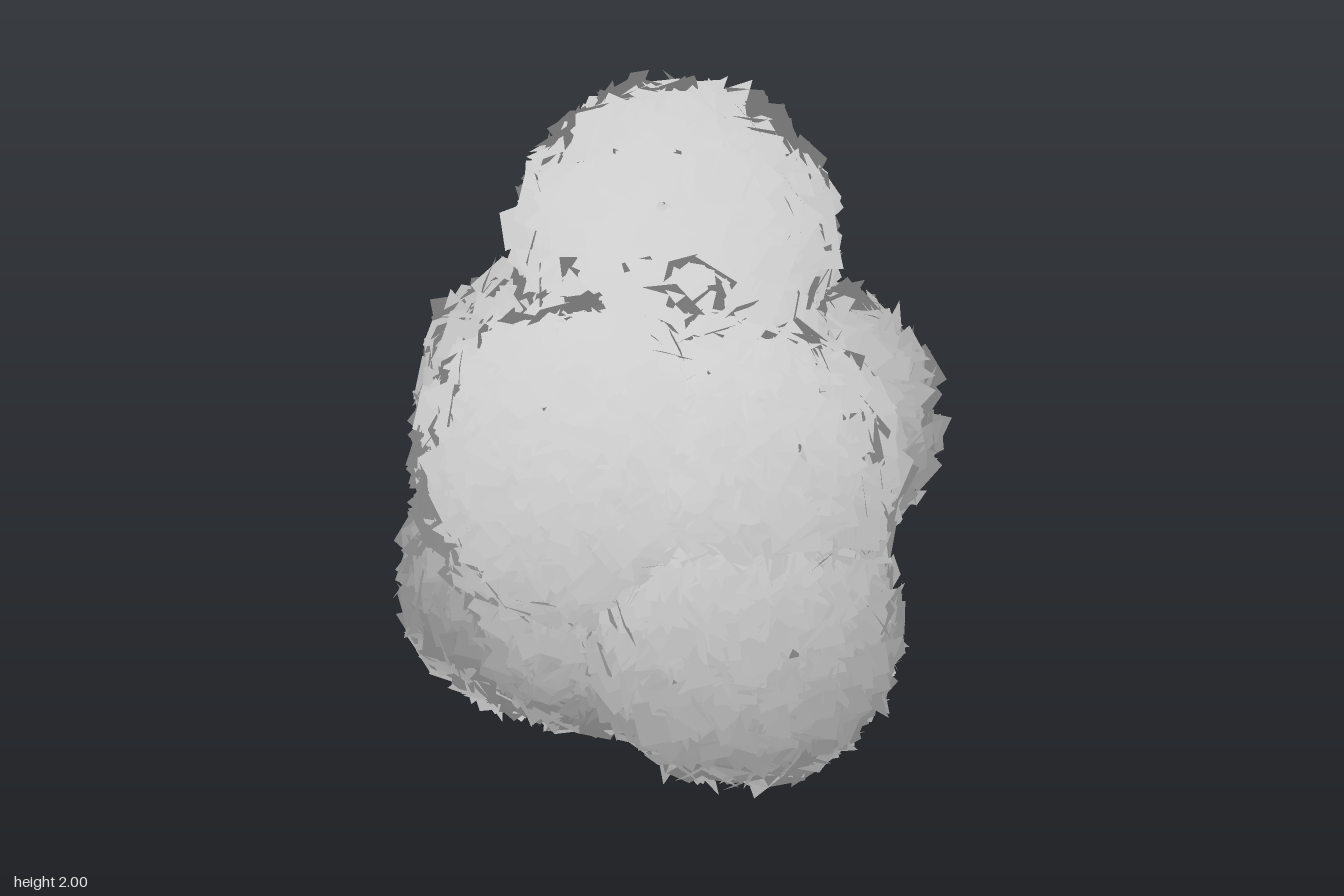
import * as THREE from 'three';
import { mergeGeometries } from 'three/addons/utils/BufferGeometryUtils.js';

// Foliage clumps: name, centre, radius to leaf centres, leaf count, leaf size
const CLUMPS = [
  ['crownClump', [0.05, 1.53, 0.02], 0.42, 760, 0.115],
  ['coreClump', [0.04, 1.2, 0.01], 0.425, 700, 0.105],
  ['frontClump', [0.09, 0.97, 0.43], 0.415, 950, 0.1],
  ['backClump', [0.1, 0.98, -0.44], 0.41, 850, 0.105],
  ['leftUpperClump', [0.4, 0.94, 0.12], 0.39, 800, 0.105],
  ['leftLowerClump', [0.43, 0.54, 0.17], 0.4, 950, 0.1],
  ['rightUpperClump', [-0.44, 1.05, 0.03], 0.375, 600, 0.12],
  ['rightLowerClump', [-0.43, 0.51, 0.08], 0.405, 950, 0.1],
  ['frontLowerClump', [-0.02, 0.52, 0.26], 0.33, 750, 0.095],
  ['bottomClump', [0.2, 0.34, -0.32], 0.29, 650, 0.09],
];
const MIDDLE = new THREE.Vector3(0.05, 0.6, 0);

// Small seeded random number generator
function seeded(seed) {
  return () => {
    seed = (seed * 1664525 + 1013904223) % 4294967296;
    return seed / 4294967296;
  };
}

// Square leaves spread in a spiral over a sphere, each spun and tilted
function leafBall(centre, radius, count, size, rand) {
  const leaves = [];
  const golden = Math.PI * (3 - Math.sqrt(5));
  const forward = new THREE.Vector3(0, 0, 1);
  const dir = new THREE.Vector3();
  const normal = new THREE.Vector3();
  const tilt = new THREE.Quaternion();
  const turn = new THREE.Quaternion();
  const jitter = (amount) => (rand() - 0.5) * amount;
  for (let i = 0; i < count; i++) {
    const y = 1 - (2 * (i + 0.5)) / count;
    const ring = Math.sqrt(1 - y * y);
    dir.set(Math.cos(i * golden) * ring, y, Math.sin(i * golden) * ring);
    dir.x += jitter(0.16);
    dir.y += jitter(0.16);
    dir.z += jitter(0.16);
    dir.normalize();

    const side = size * (0.8 + 0.4 * rand());
    const leaf = new THREE.PlaneGeometry(side, side);
    leaf.rotateZ(rand() * Math.PI * 2);
    tilt.setFromEuler(new THREE.Euler(jitter(1.5), jitter(1.5), 0));
    turn.setFromUnitVectors(forward, dir).multiply(tilt);
    leaf.applyQuaternion(turn);
    const reach = radius * (0.95 + 0.08 * rand());
    leaf.translate(dir.x * reach, dir.y * reach, dir.z * reach);

    // Soft shading: normals fan out from the middle of the whole bush
    normal.copy(dir).multiplyScalar(reach).add(centre).sub(MIDDLE).normalize();
    normal.addScaledVector(dir, 0.25).normalize();
    for (let k = 0; k < 4; k++) leaf.attributes.normal.setXYZ(k, normal.x, normal.y, normal.z);
    leaves.push(leaf);
  }
  return mergeGeometries(leaves);
}

export function createModel() {
  const model = new THREE.Group();
  model.name = 'foliage';
  const material = new THREE.MeshStandardMaterial({
    color: 0xcccccc,
    side: THREE.DoubleSide,
  });
  CLUMPS.forEach(([name, position, radius, count, size], i) => {
    const centre = new THREE.Vector3(...position);
    const leaves = leafBall(centre, radius, count, size, seeded(17 + i * 101));
    const clump = new THREE.Mesh(leaves, material);
    clump.name = name;
    clump.position.copy(centre);
    model.add(clump);
  });
  return model;
}
